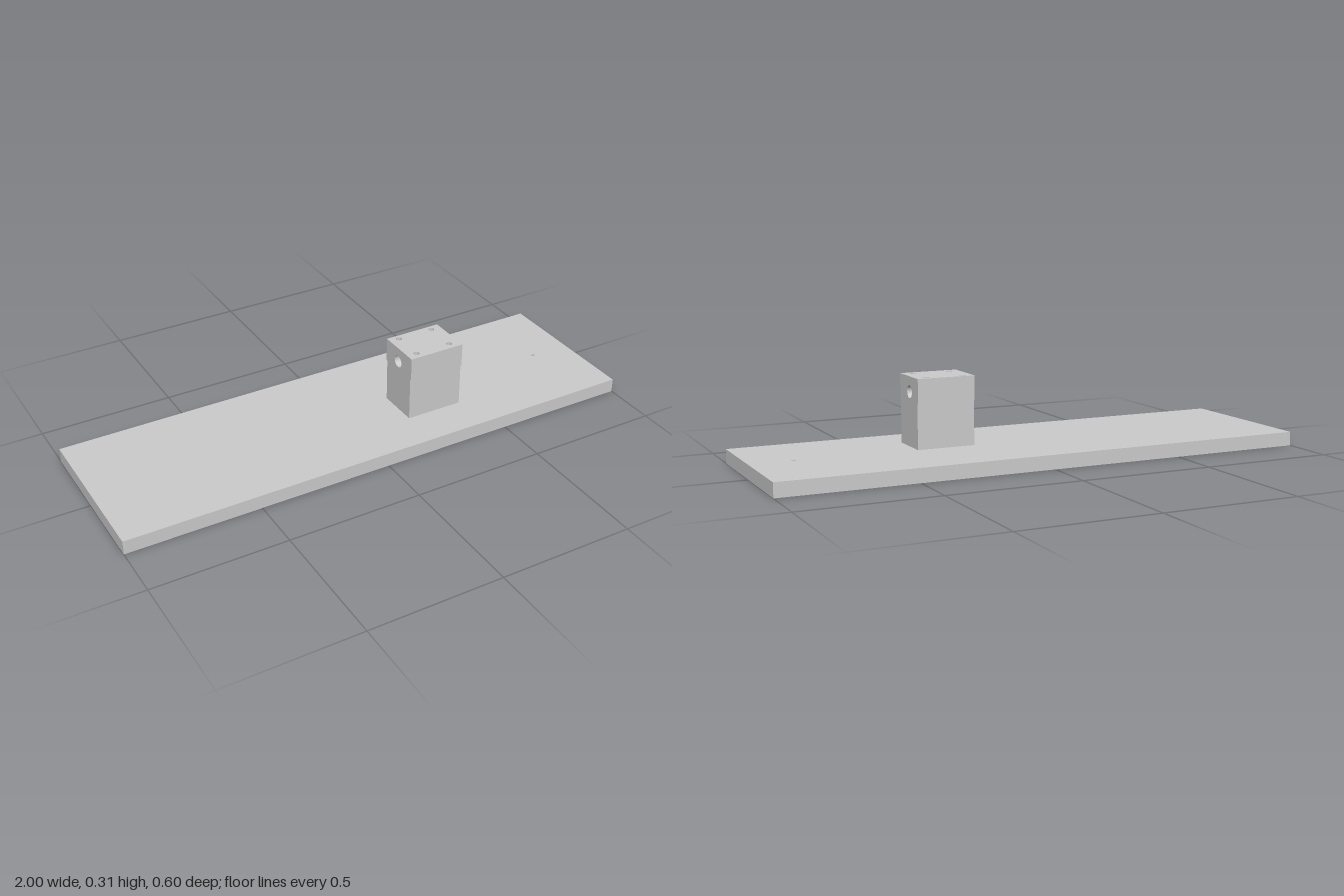
import * as THREE from 'three';
import { mergeGeometries } from 'three/addons/utils/BufferGeometryUtils.js';

const material = new THREE.MeshStandardMaterial({ color: 0xcccccc, side: THREE.DoubleSide });

const plateTop = 0.052, stepY = 0.216, blockTop = 0.305;
const x0 = 0.18, x1 = 0.397, midX = (x0 + x1) / 2, midZ = 0.0635;
const lowerHalf = 0.0795, upperHalf = 0.085;
const bore = { z: 0.058, y: 0.25, r: 0.023 };
const pinR = 0.006;

// Four screw holes shared by block and plate, as [x, z, radius]
const screws = [];
for (const x of [0.218, 0.358]) for (const z of [0, 0.12]) screws.push([x, z, 0.011]);
const setPin = [midX, 0.06, pinR];

function polygon(points, holes = []) {
  const shape = new THREE.Shape(points.map(([a, b]) => new THREE.Vector2(a, b)));
  for (const [a, b, r] of holes) shape.holes.push(new THREE.Path().absarc(a, b, r, 0, Math.PI * 2, true));
  return shape;
}

// Rectangle on the ground plane; shape y is -z
function groundRect(xa, xb, za, zb, holes = []) {
  return polygon([[xa, -zb], [xb, -zb], [xb, -za], [xa, -za]], holes.map(([x, z, r]) => [x, -z, r]));
}

function horizontalFace(y, up, half, holes = [], za = midZ - half, zb = midZ + half) {
  const g = new THREE.ShapeGeometry(groundRect(x0, x1, za, zb, holes), 16).rotateX(-Math.PI / 2);
  if (!up) {
    g.index.array.reverse();
    g.attributes.normal.array.forEach((n, i, a) => { a[i] = -n; });
  }
  return g.translate(0, y, 0);
}

// Front or back wall of the block
function wall(ya, yb, half, side) {
  return new THREE.PlaneGeometry(x1 - x0, yb - ya)
    .rotateY(side > 0 ? 0 : Math.PI)
    .translate(midX, (ya + yb) / 2, midZ + side * half);
}

// End wall with the cross bore, side = +1 or -1 along x
function endWall(side) {
  const a = lowerHalf, b = upperHalf;
  const outline = [[-a, plateTop], [a, plateTop], [a, stepY], [b, stepY],
    [b, blockTop], [-b, blockTop], [-b, stepY], [-a, stepY]];
  return new THREE.ShapeGeometry(polygon(outline, [[-side * (bore.z - midZ), bore.y, bore.r]]), 24)
    .rotateY(side * Math.PI / 2)
    .translate(side > 0 ? x1 : x0, 0, midZ);
}

// Inside wall of a round hole, facing its axis
function holeWall(r, length) {
  const g = new THREE.CylinderGeometry(r, r, length, 48, 1, true);
  g.index.array.reverse();
  g.attributes.normal.array.forEach((n, i, a) => { a[i] = -n; });
  return g;
}

function createBlock() {
  const parts = [
    horizontalFace(blockTop, true, upperHalf, screws),
    horizontalFace(plateTop, false, lowerHalf, [...screws, setPin]),
    endWall(1), endWall(-1),
  ];
  for (const s of [1, -1]) {
    parts.push(wall(plateTop, stepY, lowerHalf, s), wall(stepY, blockTop, upperHalf, s));
    // Underside of the overhanging head
    const z = [midZ + s * lowerHalf, midZ + s * upperHalf].sort((p, q) => p - q);
    parts.push(horizontalFace(stepY, false, 0, [], z[0], z[1]));
  }
  // Cross bore and vertical holes
  parts.push(holeWall(bore.r, x1 - x0).rotateZ(Math.PI / 2).translate(midX, bore.y, bore.z));
  for (const [x, z, r] of screws)
    parts.push(holeWall(r, blockTop - plateTop).translate(x, (blockTop + plateTop) / 2, z));
  const pinTop = bore.y - bore.r;
  parts.push(holeWall(pinR, pinTop - plateTop).translate(setPin[0], (pinTop + plateTop) / 2, setPin[1]));
  return mergeGeometries(parts);
}

export function createModel() {
  const group = new THREE.Group();

  // Base plate with screw holes, pin hole and a small locating hole
  const holes = [...screws, setPin, [0.843, 0, 0.007]];
  const plate = new THREE.Mesh(
    new THREE.ExtrudeGeometry(groundRect(-1, 1, -0.3, 0.3, holes),
      { depth: plateTop, bevelEnabled: false, curveSegments: 24 }).rotateX(-Math.PI / 2),
    material);
  plate.name = 'basePlate';

  // Bored block standing on the plate
  const block = new THREE.Mesh(createBlock(), material);
  block.name = 'boredBlock';

  group.add(plate, block);
  return group;
}
